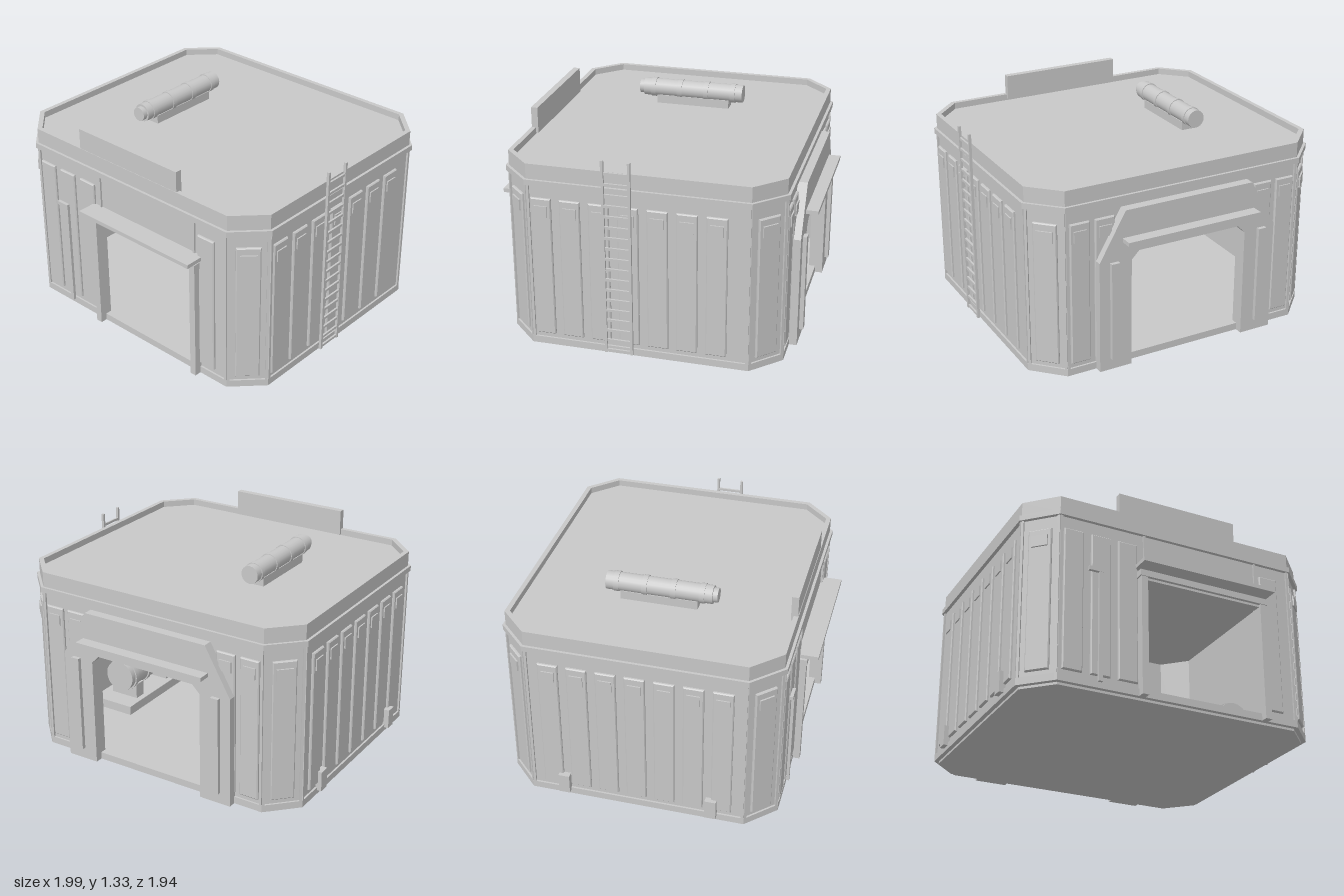
import * as THREE from 'three';

export function createModel() {
  const model = new THREE.Group();
  model.name = 'hangarBuilding';
  const grey = new THREE.MeshStandardMaterial({ color: 0xc8c8c8 });
  grey.name = 'plainGrey';

  const HX = 0.955, HZ = 0.84, CUT = 0.17, T = 0.03;

  function add(parent, name, geometry, x = 0, y = 0, z = 0) {
    const mesh = new THREE.Mesh(geometry, grey);
    mesh.name = name;
    mesh.position.set(x, y, z);
    parent.add(mesh);
    return mesh;
  }
  // Box given by its limits on each axis
  function box(parent, name, x0, x1, y0, y1, z0, z1) {
    return add(parent, name, new THREE.BoxGeometry(x1 - x0, y1 - y0, z1 - z0),
      (x0 + x1) / 2, (y0 + y1) / 2, (z0 + z1) / 2);
  }
  const poly = (pts, Type = THREE.Shape) => new Type(pts.map(p => new THREE.Vector2(...p)));
  // Chamfered footprint, grown by an offset
  function octagon(o, Type) {
    const x = HX + o, z = HZ + o, c = CUT + o * 0.586;
    return poly([[x - c, z], [x, z - c], [x, c - z], [x - c, -z],
      [c - x, -z], [-x, c - z], [-x, z - c], [c - x, z]].reverse(), Type);
  }
  // Horizontal slab, or ring if an inner offset is given
  function slab(name, outer, y0, y1, inner) {
    const shape = octagon(outer);
    if (inner !== undefined) shape.holes.push(octagon(inner, THREE.Path));
    const g = new THREE.ExtrudeGeometry(shape, { depth: y1 - y0, bevelEnabled: false });
    g.rotateX(-Math.PI / 2);
    return add(model, name, g, 0, y0, 0);
  }

  // Base, floor, roof and the bands around the walls
  slab('base', -0.015, 0, 0.02);
  slab('floor', -0.01, 0.02, 0.04);
  slab('skirting', 0.012, 0.015, 0.06, -T);
  slab('roof', -0.01, 1.11, 1.16);
  slab('cornice', 0.022, 1.07, 1.105, -T);
  slab('parapet', 0.005, 1.1, 1.2, -0.025);

  // Wall group: local x runs along the wall, local z points outwards
  function wall(name, angle, x, z, width, door) {
    const side = new THREE.Group();
    side.name = name;
    side.position.set(x, 0, z);
    side.rotation.y = angle;
    model.add(side);
    const w = width / 2;
    const shape = poly([[-w, 0.02], [w, 0.02], [w, 1.11], [-w, 1.11]]);
    if (door) shape.holes.push(poly(door, THREE.Path));
    const g = new THREE.ExtrudeGeometry(shape, { depth: T, bevelEnabled: false });
    add(side, name + 'Surface', g, 0, 0, -T);
    // Edge strips where the wall meets its neighbours
    for (const s of [-1, 1]) {
      box(side, 'edgeStrip', s * (w - 0.006) - 0.008, s * (w - 0.006) + 0.008, 0.02, 1.1, -0.01, 0.012);
    }
    return side;
  }
  // Raised panel with bevelled edges and an optional small plate near the top
  function panel(side, u, width, plate) {
    const w = width / 2 - 0.006;
    const g = new THREE.ExtrudeGeometry(poly([[-w, 0.096], [w, 0.096], [w, 0.984], [-w, 0.984]]),
      { depth: 0.01, bevelThickness: 0.006, bevelSize: 0.006, bevelSegments: 1 });
    add(side, 'wallPanel', g, u, 0, 0);
    if (plate) box(side, 'panelPlate', u - w * 0.72, u + w * 0.72, 0.875, 0.945, 0.01, 0.024);
  }

  const frontDoor = [[-0.24, 0.03], [-0.24, 0.76], [0.54, 0.76], [0.54, 0.03]];
  const backDoor = [[-0.39, 0.03], [-0.39, 0.73], [-0.36, 0.76], [0.36, 0.76], [0.39, 0.73], [0.39, 0.03]];
  const front = wall('frontWall', 0, 0, HZ, 2 * (HX - CUT), frontDoor);
  const back = wall('backWall', Math.PI, 0, -HZ, 2 * (HX - CUT), backDoor);
  const right = wall('leftSideWall', Math.PI / 2, HX, 0, 2 * (HZ - CUT));
  const left = wall('rightSideWall', -Math.PI / 2, -HX, 0, 2 * (HZ - CUT));

  for (const u of [-0.7, -0.525, -0.35, 0.63]) panel(front, u, 0.125, false);
  for (const u of [-0.7, -0.54, 0.54, 0.7]) panel(back, u, 0.125, true);
  for (let i = -3; i <= 3; i++) {
    panel(right, -0.055 + i * 0.177, 0.125, true);
    panel(left, i * 0.177, 0.125, true);
  }
  // Chamfered corners
  for (const sx of [-1, 1]) for (const sz of [-1, 1]) {
    const corner = wall('cornerWall', Math.atan2(sx, sz), sx * (HX - CUT / 2), sz * (HZ - CUT / 2), CUT * Math.SQRT2);
    panel(corner, 0, 0.145, false);
    box(corner, 'cornerPlate', -0.05, 0.05, 0.875, 0.945, 0.01, 0.026);
  }

  // Front doorway: posts, lintel, canopy and header strips
  for (const x of [-0.26, 0.56]) {
    box(front, 'doorPost', x - 0.021, x + 0.021, 0.015, 0.77, -0.03, 0.055);
  }
  box(front, 'doorLintel', -0.29, 0.585, 0.77, 0.81, -0.01, 0.06);
  box(front, 'doorLintelLip', -0.28, 0.575, 0.755, 0.77, -0.01, 0.04);
  box(front, 'doorCanopy', -0.3, 0.6, 0.83, 0.855, 0, 0.13);
  for (const x of [-0.237, 0.537]) box(front, 'headerStrip', x - 0.006, x + 0.006, 0.81, 1.08, 0, 0.012);

  // Pipe with a bent top beside the front door
  box(front, 'wallPipe', -0.545, -0.52, 0.05, 0.75, 0.016, 0.034);
  box(front, 'wallPipeTop', -0.61, -0.52, 0.74, 0.765, 0.016, 0.036);

  // Back doorway: arch with sloped shoulders, leg ribs and canopy
  const arch = poly([[-0.6, 0.015], [-0.39, 0.015], [-0.39, 0.71], [-0.34, 0.76], [0.34, 0.76], [0.39, 0.71],
    [0.39, 0.015], [0.6, 0.015], [0.6, 0.73], [0.43, 1.03], [-0.43, 1.03], [-0.6, 0.73]]);
  add(back, 'doorArch', new THREE.ExtrudeGeometry(arch, { depth: 0.06, bevelEnabled: false }));
  for (const s of [-1, 1]) {
    box(back, 'archRib', s * 0.505 - 0.027, s * 0.505 + 0.027, 0.09, 0.72, 0.05, 0.085);
  }
  box(back, 'backCanopy', -0.45, 0.45, 0.835, 0.86, 0.04, 0.135);

  // Small vents low on one side
  for (const u of [-0.46, 0.47]) box(left, 'lowVent', u - 0.035, u + 0.035, 0.04, 0.17, 0, 0.04);

  // Ladder
  const ladder = new THREE.Group();
  ladder.name = 'ladder';
  model.add(ladder);
  for (const z of [0.035, 0.195]) box(ladder, 'ladderRail', 0.98, 0.997, 0.03, 1.28, z - 0.008, z + 0.008);
  for (let i = 0; i < 18; i++) {
    const y = 0.045 + i * 0.068;
    box(ladder, 'ladderRung', 0.982, 0.994, y - 0.008, y + 0.008, 0.035, 0.195);
  }

  // Roof sign board
  box(model, 'signBoard', -0.4, 0.4, 1.165, 1.33, 0.8, 0.842);

  // Banded tank lying along z
  function tank(name, x, y, z, r, length) {
    const g = new THREE.Group();
    g.name = name;
    g.position.set(x, y, z);
    model.add(g);
    const drum = (part, radius, len, at) => {
      const c = new THREE.CylinderGeometry(radius, radius, len, 20);
      c.rotateX(Math.PI / 2);
      add(g, part, c, 0, 0, at);
    };
    drum('tankBody', r * 0.92, length, 0);
    for (let i = 0; i < 4; i++) drum('tankBand', r, 0.032, (i - 1.5) * length * 0.268);
    drum('tankCap', r * 0.72, 0.03, length / 2 + 0.015);
    return g;
  }
  tank('roofTank', -0.38, 1.255, 0, 0.062, 0.66);
  box(model, 'roofTankCradle', -0.425, -0.335, 1.155, 1.215, -0.24, 0.24);

  // Larger tank on a plinth inside
  tank('insideTank', 0.69, 0.26, 0.03, 0.115, 0.54);
  box(model, 'insidePlinth', 0.55, 0.84, 0.035, 0.1, -0.32, 0.35);
  for (const z of [-0.15, 0.2]) box(model, 'insideCradle', 0.59, 0.79, 0.09, 0.2, z - 0.04, z + 0.04);

  return model;
}
